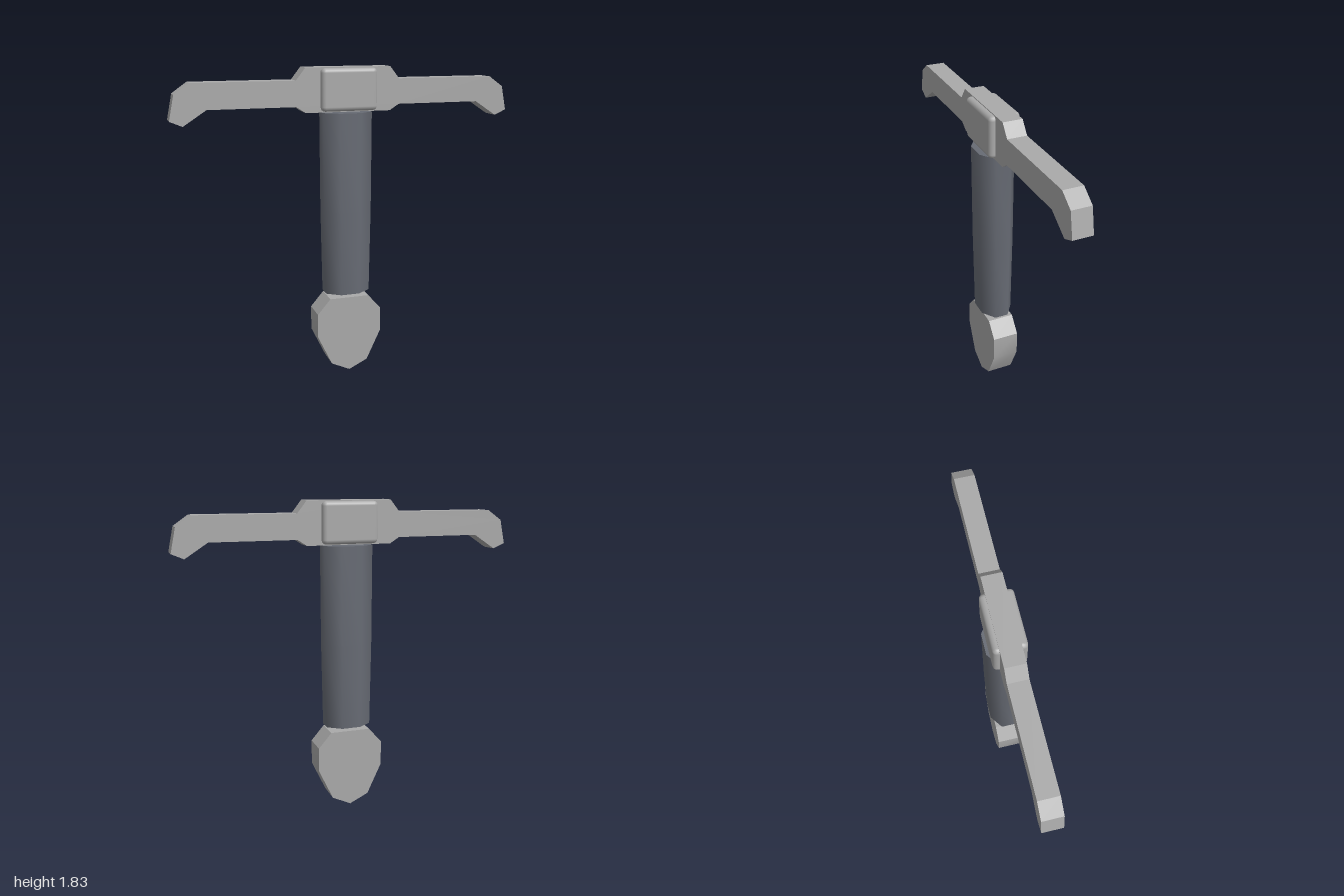
import * as THREE from 'three';
import { toCreasedNormals } from 'three/addons/utils/BufferGeometryUtils.js';
import { RoundedBoxGeometry } from 'three/addons/geometries/RoundedBoxGeometry.js';

// Plate from its right half outline (top to bottom), mirrored in x and centred in z
function mirroredPlate(half, depth) {
  const left = half.filter(([x]) => x > 0).reverse().map(([x, y]) => [-x, y]);
  const shape = new THREE.Shape([...half, ...left].map(([x, y]) => new THREE.Vector2(x, y)));
  const geometry = new THREE.ExtrudeGeometry(shape, { depth, bevelEnabled: false });
  return geometry.translate(0, 0, -depth / 2);
}

export function createModel() {
  const group = new THREE.Group();
  const steel = new THREE.MeshStandardMaterial({ color: 0xa9a9a9 });
  steel.name = 'grey steel';
  const leather = new THREE.MeshStandardMaterial({ color: 0x676b74 });
  leather.name = 'slate leather';

  const add = (name, geometry, material) => {
    const mesh = new THREE.Mesh(geometry, material);
    mesh.name = name;
    group.add(mesh);
    return mesh;
  };

  // Crossguard with hooked ends
  add('crossguard', mirroredPlate([
    [0.25, 1.83], [0.305, 1.76], [0.885, 1.76], [0.97, 1.7], [1, 1.56],
    [0.93, 1.53], [0.8, 1.615], [0.305, 1.615], [0.25, 1.58],
  ], 0.112), steel);

  // Raised block in the middle of the guard
  const block = add('guardBlock', new RoundedBoxGeometry(0.33, 0.24, 0.18, 2, 0.025), steel);
  block.position.y = 1.705;

  // Eight-sided grip, tapering slightly downward
  const profile = [[0, 0.495], [0.146, 0.495], [0.155, 1.0], [0.157, 1.575], [0, 1.575]]
    .map(([r, y]) => new THREE.Vector2(r, y));
  const grip = new THREE.LatheGeometry(profile, 8, Math.PI / 8).scale(1, 1, 0.715);
  add('grip', toCreasedNormals(grip, 1.0), leather);

  // Faceted pommel
  const pommel = mirroredPlate([
    [0.12, 0.47], [0.198, 0.38], [0.198, 0.235], [0.112, 0.053], [0, 0],
  ], 0.155);
  add('pommel', toCreasedNormals(pommel, 0.53), steel);

  return group;
}
